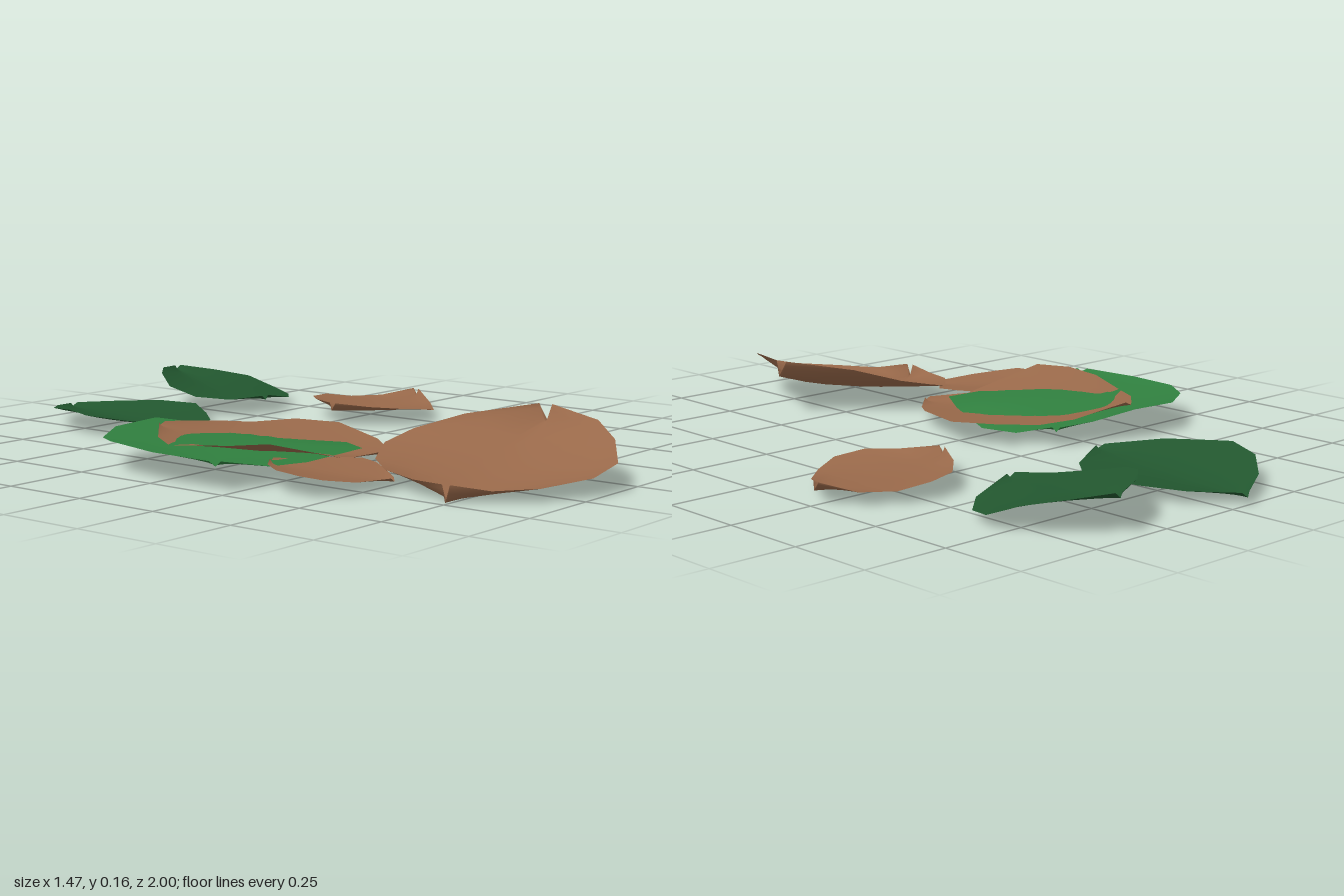
import * as THREE from 'three';

const material = (name, color) => {
  const m = new THREE.MeshStandardMaterial({ color, side: THREE.DoubleSide });
  m.name = name;
  return m;
};
const vec = (p) => new THREE.Vector3(...p);

// A curled leaf: ribs run from tail to tip, edges are [x, y, z] points tail to tip.
// sag is the rib height at mid-leaf, fold the depth of the V crease at both ends.
function leaf(name, mat, { tail, tip, sag, fold, right, left }) {
  const a = vec(tail), b = vec(tip);
  const axis = new THREE.Vector3(b.x - a.x, 0, b.z - a.z);
  const rib = (t) => {
    const p = a.clone().lerp(b, t);
    p.y += (sag - (a.y + b.y) / 2) * 4 * t * (1 - t);
    return p;
  };
  // Short pinched section just inside each end
  const pinch = (end, edge) => {
    const p = end.clone().lerp(vec(edge), 0.1);
    p.y = end.y + fold;
    return p;
  };
  const n = right.length;
  const rows = [[a, a, a]];
  rows.push([pinch(a, right[0]), rib(0.02), pinch(a, left[0])]);
  for (let i = 0; i < n; i++) {
    const r = vec(right[i]), l = vec(left[i]);
    const mid = r.clone().add(l).multiplyScalar(0.5).sub(a);
    const t = THREE.MathUtils.clamp(mid.dot(axis) / axis.lengthSq(), 0.05, 0.95);
    rows.push([r, rib(t), l]);
  }
  rows.push([pinch(b, right[n - 1]), rib(0.98), pinch(b, left[n - 1])]);
  rows.push([b, b, b]);

  // Sheet across the rows, bending smoothly away from the rib
  const cols = 10, pos = [], index = [];
  rows.forEach(([r, m, l], i) => {
    for (let j = 0; j <= cols; j++) {
      const s = (j / cols) * 2 - 1, k = Math.abs(s);
      const edge = s < 0 ? r : l;
      const p = m.clone().lerp(edge, k);
      p.y = m.y + (edge.y - m.y) * Math.pow(k, 1.4);
      pos.push(p.x, p.y, p.z);
      if (i < rows.length - 1 && j < cols) {
        const q = i * (cols + 1) + j, u = q + cols + 1;
        if (i > 0) index.push(q, u, q + 1);
        if (i < rows.length - 2) index.push(q + 1, u, u + 1);
        else continue;
        if (i === 0) continue;
      }
    }
  });
  const geo = new THREE.BufferGeometry();
  geo.setAttribute('position', new THREE.Float32BufferAttribute(pos, 3));
  geo.setIndex(index);
  geo.computeVertexNormals();
  const mesh = new THREE.Mesh(geo, mat);
  mesh.name = name;
  return mesh;
}

export function createModel() {
  const darkGreen = material('darkGreen', 0x22572f);
  const green = material('leafGreen', 0x30803f);
  const brown = material('dryBrown', 0x99694a);
  const group = new THREE.Group();
  group.name = 'fallenLeaves';

  group.add(
    // Two dark leaves at the back
    leaf('backDarkLeaf', darkGreen, {
      tail: [-0.15, 0.025, -0.4], tip: [-0.06, 0.02, -1], sag: 0.015, fold: 0.012,
      right: [[0.0, 0.022, -0.47], [0.08, 0.025, -0.56], [0.13, 0.04, -0.65], [0.11, 0.04, -0.78], [0.05, 0.035, -0.89]],
      left: [[-0.29, 0.05, -0.52], [-0.34, 0.06, -0.65], [-0.34, 0.07, -0.72], [-0.3, 0.06, -0.83], [-0.19, 0.045, -0.93]],
    }),
    leaf('sideDarkLeaf', darkGreen, {
      tail: [0.3, 0.045, -0.51], tip: [0.38, 0.095, -0.965], sag: 0.055, fold: 0.012,
      right: [[0.46, 0.03, -0.55], [0.54, 0.025, -0.62], [0.57, 0.035, -0.7], [0.54, 0.07, -0.79], [0.47, 0.09, -0.88]],
      left: [[0.2, 0.05, -0.57], [0.13, 0.06, -0.65], [0.12, 0.085, -0.75], [0.19, 0.11, -0.85], [0.27, 0.114, -0.92]],
    }),
    // Small dry leaf on its own
    leaf('sideDryLeaf', brown, {
      tail: [0.255, 0.045, -0.21], tip: [0.73, 0.035, -0.24], sag: 0.025, fold: 0.022,
      right: [[0.33, 0.055, -0.12], [0.39, 0.05, -0.04], [0.48, 0.04, -0.02], [0.56, 0.025, -0.05], [0.65, 0.03, -0.13]],
      left: [[0.33, 0.06, -0.33], [0.4, 0.055, -0.4], [0.49, 0.05, -0.42], [0.58, 0.035, -0.39], [0.66, 0.035, -0.33]],
    }),
    // Bright leaf lying across a dry one
    leaf('brightLeaf', green, {
      tail: [-0.73, 0.065, 0.21], tip: [-0.14, 0.045, -0.25], sag: 0.062, fold: 0.012,
      right: [[-0.58, 0.05, 0.26], [-0.45, 0.045, 0.28], [-0.22, 0.05, 0.28], [-0.15, 0.045, 0.17], [-0.11, 0.015, 0.02], [-0.11, 0.025, -0.12]],
      left: [[-0.74, 0.08, 0.0], [-0.71, 0.085, -0.18], [-0.66, 0.08, -0.26], [-0.53, 0.085, -0.34], [-0.37, 0.09, -0.34], [-0.25, 0.065, -0.29]],
    }),
    leaf('middleDryLeaf', brown, {
      tail: [-0.18, 0.035, 0.34], tip: [-0.43, 0.082, -0.27], sag: 0.035, fold: 0.01,
      right: [[-0.11, 0.035, 0.28], [-0.05, 0.045, 0.2], [0.03, 0.06, 0.0], [-0.02, 0.065, -0.12], [-0.12, 0.06, -0.2], [-0.21, 0.07, -0.25]],
      left: [[-0.33, 0.04, 0.31], [-0.57, 0.105, 0.25], [-0.63, 0.1, 0.17], [-0.635, 0.09, 0.06], [-0.6, 0.07, -0.07], [-0.54, 0.075, -0.17]],
    }),
    leaf('smallDryLeaf', brown, {
      tail: [-0.42, 0.02, 0.54], tip: [-0.53, 0.05, 0.22], sag: 0.03, fold: 0.01,
      right: [[-0.34, 0.03, 0.45], [-0.315, 0.04, 0.4], [-0.31, 0.045, 0.35], [-0.34, 0.045, 0.29], [-0.42, 0.045, 0.23]],
      left: [[-0.55, 0.035, 0.52], [-0.62, 0.045, 0.47], [-0.655, 0.055, 0.42], [-0.65, 0.06, 0.34], [-0.6, 0.06, 0.27]],
    }),
    // Large dry leaf at the front, lifted at one end
    leaf('frontDryLeaf', brown, {
      tail: [-0.48, 0.0, 0.74], tip: [0.16, 0.115, 0.62], sag: 0.03, fold: 0.045,
      right: [[-0.41, 0.03, 0.83], [-0.33, 0.035, 0.92], [-0.2, 0.05, 0.99], [-0.1, 0.075, 1.0], [0.0, 0.115, 0.93], [0.08, 0.145, 0.83]],
      left: [[-0.45, 0.04, 0.62], [-0.41, 0.045, 0.5], [-0.32, 0.05, 0.4], [-0.22, 0.075, 0.355], [-0.11, 0.1, 0.37], [0.0, 0.135, 0.46]],
    }),
  );
  return group;
}
